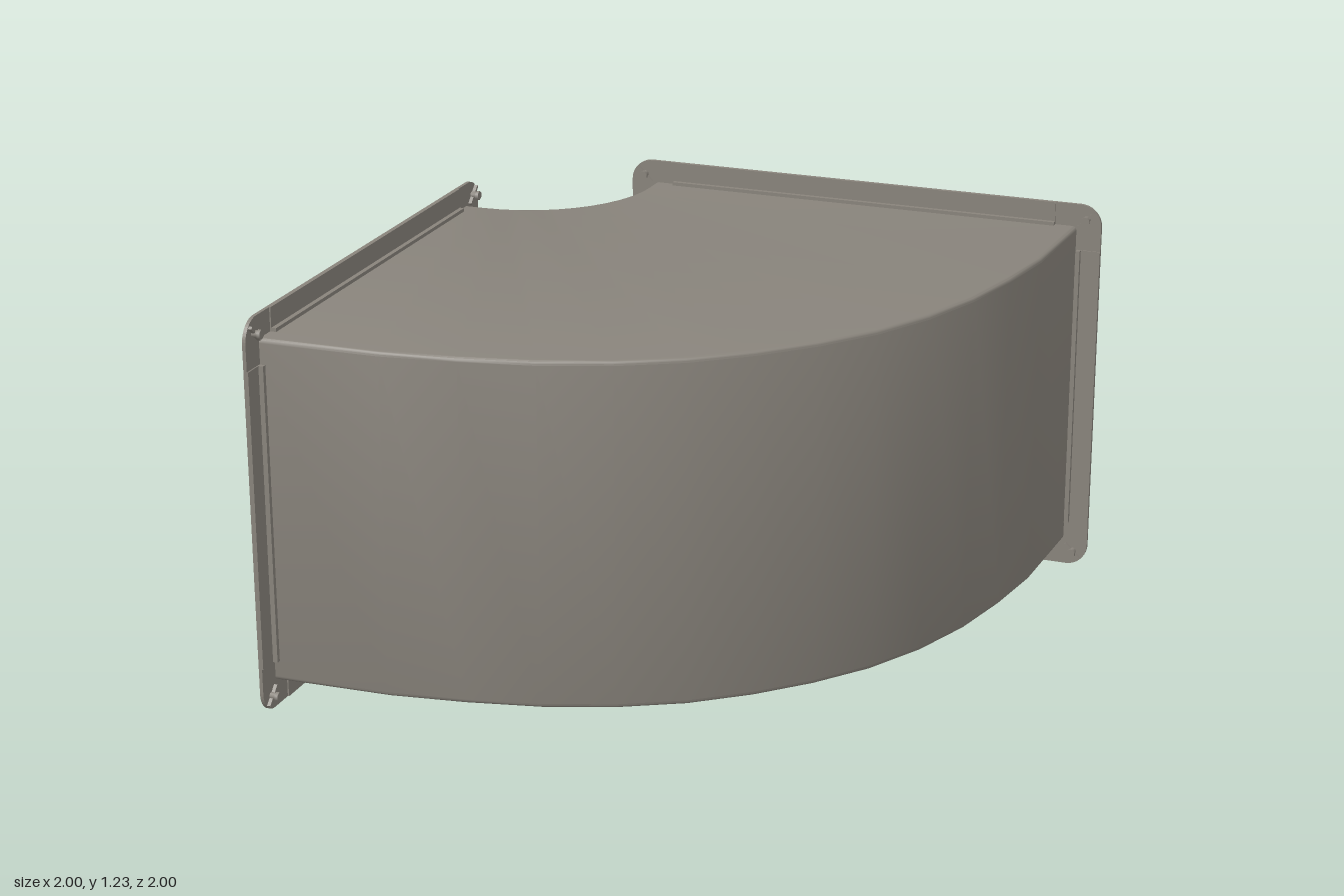
import * as THREE from 'three';
import { toCreasedNormals } from 'three/addons/utils/BufferGeometryUtils.js';

const H = 1.23;          // flange height
const W = 1.6;           // flange width
const RIM = 0.075;       // flange edge to duct wall
const LIP = 0.15;        // flange edge to opening

const steel = new THREE.MeshStandardMaterial({ color: 0x88837b, side: THREE.DoubleSide });
steel.name = 'galvanised grey';

function add(parent, name, geometry, x = 0, y = 0, z = 0) {
  const mesh = new THREE.Mesh(geometry, steel);
  mesh.name = name;
  mesh.position.set(x, y, z);
  parent.add(mesh);
  return mesh;
}

// Rounded rectangle centred on the origin
function roundedRect(Type, w, h, r) {
  const s = new Type();
  const x = w / 2, y = h / 2;
  s.moveTo(-x + r, -y);
  s.lineTo(x - r, -y);
  s.absarc(x - r, -y + r, r, -Math.PI / 2, 0);
  s.lineTo(x, y - r);
  s.absarc(x - r, y - r, r, 0, Math.PI / 2);
  s.lineTo(-x + r, y);
  s.absarc(-x + r, y - r, r, Math.PI / 2, Math.PI);
  s.lineTo(-x, -y + r);
  s.absarc(-x + r, -y + r, r, Math.PI, Math.PI * 1.5);
  return s;
}

// Flat frame between two inset distances
function frame(outer, inner, r, depth) {
  const shape = roundedRect(THREE.Shape, W - 2 * outer, H - 2 * outer, r);
  shape.holes.push(roundedRect(THREE.Path, W - 2 * inner, H - 2 * inner, 0.002));
  return new THREE.ExtrudeGeometry(shape, { depth, bevelEnabled: false, curveSegments: 6 });
}

// Hollow elbow: a rounded box section swept round the bend
function elbowGeometry() {
  const half = [[-0.99, 0.92], [-0.62, 0.905], [-0.39, 0.87], [-0.17, 0.82],
    [0.035, 0.745], [0.22, 0.645], [0.38, 0.52]];
  const outer = [...half, ...half.map(([x, z]) => [z, x]).reverse()];
  const n = outer.length;
  const inner = outer.map((p, i) => {
    if (i === 0) return [-0.99, -0.52];
    if (i === n - 1) return [-0.52, -0.99];
    const a = Math.PI / 2 * (1 - (i - 1) / (n - 3));
    return [-0.93 + 0.41 * Math.cos(a), -0.93 + 0.41 * Math.sin(a)];
  });
  const y0 = 0.083, y1 = 1.157, r = 0.014, steps = 4;
  const rings = outer.map((o, i) => {
    const p = inner[i];
    const len = Math.hypot(o[0] - p[0], o[1] - p[1]);
    const ring = [];
    for (let c = 0; c < 4; c++) {
      const cx = c === 0 || c === 3 ? len - r : r;
      const cy = c < 2 ? y1 - r : y0 + r;
      for (let k = 0; k <= steps; k++) {
        const a = (c + k / steps) * Math.PI / 2;
        const t = (cx + r * Math.cos(a)) / len;
        ring.push([p[0] + (o[0] - p[0]) * t, cy + r * Math.sin(a), p[1] + (o[1] - p[1]) * t]);
      }
    }
    return ring;
  });
  const pos = [];
  const m = rings[0].length;
  for (let i = 0; i < n - 1; i++) {
    for (let j = 0; j < m; j++) {
      const k = (j + 1) % m;
      const a = rings[i][j], b = rings[i][k], c = rings[i + 1][j], d = rings[i + 1][k];
      pos.push(...a, ...c, ...b, ...c, ...d, ...b);
    }
  }
  const g = new THREE.BufferGeometry();
  g.setAttribute('position', new THREE.Float32BufferAttribute(pos, 3));
  return toCreasedNormals(g, 0.5);
}

// Connecting flange; outside face at z = 0, duct side towards +z
function makeFlange(name) {
  const flange = new THREE.Group();
  flange.name = name;
  const mid = H / 2;
  add(flange, 'flangeRim', frame(0, RIM, 0.07, 0.011), 0, mid, 0);
  add(flange, 'flangeLip', frame(RIM - 0.002, LIP, 0.002, 0.008), 0, mid, 0.003);

  for (const s of [-1, 1]) {
    // Straight rails between the corners, with a foot against the duct wall
    const long = W - 2 * LIP, tall = H - 2 * LIP;
    add(flange, 'railLong', new THREE.BoxGeometry(long, 0.066, 0.014), 0, mid + s * (mid - 0.033), 0.008);
    add(flange, 'railFootLong', new THREE.BoxGeometry(long, 0.014, 0.02), 0, mid + s * (mid - 0.069), 0.02);
    add(flange, 'railTall', new THREE.BoxGeometry(0.066, tall, 0.014), s * (W / 2 - 0.033), mid, 0.008);
    add(flange, 'railFootTall', new THREE.BoxGeometry(0.014, tall, 0.02), s * (W / 2 - 0.069), mid, 0.02);

    // Corner ribs and bolts
    for (const t of [-1, 1]) {
      const x = s * (W / 2 - 0.047), y = mid + t * (mid - 0.047);
      const rib = add(flange, 'cornerRib', new THREE.BoxGeometry(0.07, 0.009, 0.012), x, y, 0.016);
      rib.rotation.z = s * t * Math.PI / 4;
      const bolt = add(flange, 'cornerBolt', new THREE.CylinderGeometry(0.011, 0.011, 0.03, 10), x, y, 0.024);
      bolt.rotation.x = Math.PI / 2;
      const nut = add(flange, 'cornerNut', new THREE.CylinderGeometry(0.015, 0.015, 0.01, 6), x, y, 0.034);
      nut.rotation.x = Math.PI / 2;
    }
  }
  return flange;
}

export function createModel() {
  const model = new THREE.Group();
  model.name = 'ductElbow';
  add(model, 'elbowBody', elbowGeometry());

  const back = makeFlange('backFlange');
  back.position.set(0.2, 0, -1);
  const side = makeFlange('sideFlange');
  side.position.set(-1, 0, 0.2);
  side.rotation.y = Math.PI / 2;
  model.add(back, side);
  return model;
}
